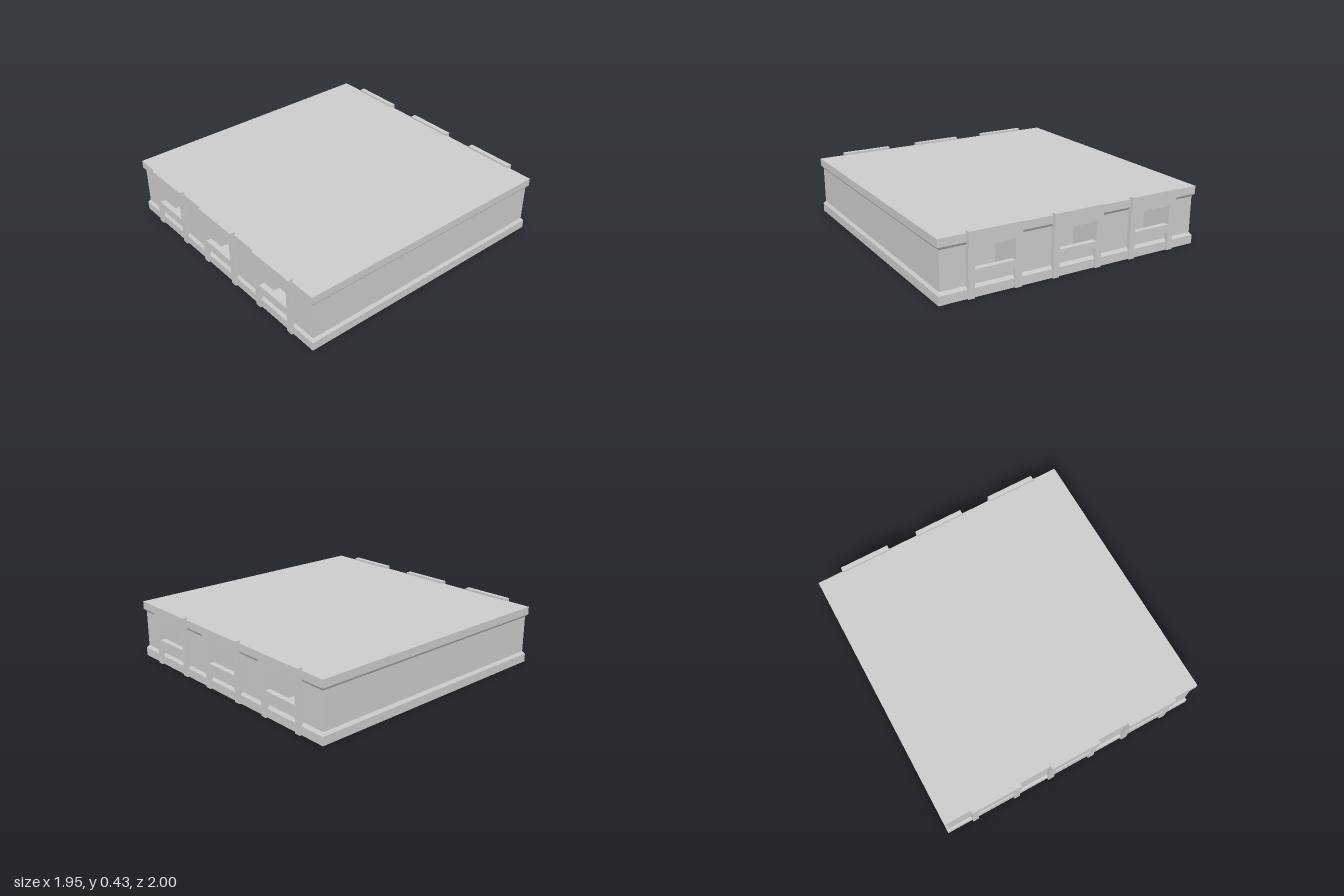
import * as THREE from 'three';

const mat = new THREE.MeshStandardMaterial({ color: 0xcccccc, flatShading: true });
const matDouble = new THREE.MeshStandardMaterial({ color: 0xcccccc, flatShading: true, side: THREE.DoubleSide });
const WALL = 0.96, EDGE = 0.975;
const BAYS = [-0.6, 0, 0.6];

function add(parent, name, geometry, material = mat) {
  const mesh = new THREE.Mesh(geometry, material);
  mesh.name = name;
  parent.add(mesh);
  return mesh;
}

// box given by its limits
function block(x0, x1, y0, y1, z0, z1) {
  return new THREE.BoxGeometry(x1 - x0, y1 - y0, z1 - z0)
    .translate((x0 + x1) / 2, (y0 + y1) / 2, (z0 + z1) / 2);
}

// closed stack of square sections, each given as [half width, height]
function squareStack(sections) {
  const pos = [], idx = [];
  for (const [h, y] of sections) pos.push(-h, y, h, h, y, h, h, y, -h, -h, y, -h);
  for (let i = 0; i < sections.length - 1; i++) {
    for (let k = 0; k < 4; k++) {
      const a = i * 4 + k, b = i * 4 + (k + 1) % 4;
      idx.push(a, b, b + 4, a, b + 4, a + 4);
    }
  }
  const t = (sections.length - 1) * 4;
  idx.push(0, 2, 1, 0, 3, 2, t, t + 1, t + 2, t, t + 2, t + 3);
  const g = new THREE.BufferGeometry();
  g.setAttribute('position', new THREE.Float32BufferAttribute(pos, 3));
  g.setIndex(idx);
  const flat = g.toNonIndexed();
  flat.computeVertexNormals();
  return flat;
}

function rectangle(target, x0, x1, y0, y1) {
  return target.moveTo(x0, y0).lineTo(x1, y0).lineTo(x1, y1).lineTo(x0, y1).closePath();
}

// one long facade facing +z, with three framed openings
function facade() {
  const g = new THREE.Group();
  const wall = rectangle(new THREE.Shape(), -WALL, WALL, 0.08, 0.34);
  for (const x of BAYS) wall.holes.push(rectangle(new THREE.Path(), x - 0.14, x + 0.14, 0.185, 0.325));
  add(g, 'facadeWall', new THREE.ShapeGeometry(wall).translate(0, 0, WALL));

  for (const x of BAYS) {
    const bay = new THREE.Group();
    bay.name = 'windowBay';
    bay.position.x = x;
    for (const s of [-1, 1]) {
      add(bay, 'post', block(-0.0225, 0.0225, 0, 0.33, 0.95, 0.988)).position.x = s * 0.1625;
    }
    add(bay, 'header', block(-0.185, 0.185, 0.325, 0.43, 0.963, 1));
    add(bay, 'sill', block(-0.14, 0.14, 0.135, 0.185, 0.95, 0.988));
    // recess behind the opening, left open toward the front
    const niche = block(-0.14, 0.14, 0.04, 0.405, 0.74, 0.955);
    const index = Array.from(niche.index.array);
    index.splice(24, 6);
    niche.setIndex(index);
    niche.clearGroups();
    add(bay, 'recess', niche, matDouble);
    g.add(bay);
  }
  return g;
}

export function createModel() {
  const model = new THREE.Group();
  model.name = 'lowBuilding';

  // plinth and roof slab with sloped mouldings
  add(model, 'plinth', squareStack([[EDGE, 0], [EDGE, 0.06], [WALL, 0.08]]));
  add(model, 'roofCornice', squareStack([[WALL, 0.34], [EDGE, 0.36], [EDGE, 0.415]]));

  // plain side walls
  for (const s of [-1, 1]) {
    const side = new THREE.PlaneGeometry(2 * WALL, 0.26).rotateY(s * Math.PI / 2);
    add(model, 'sideWall', side).position.set(s * WALL, 0.21, 0);
  }

  const front = facade();
  front.name = 'frontFacade';
  const back = facade();
  back.name = 'backFacade';
  back.rotation.y = Math.PI;
  model.add(front, back);
  return model;
}
